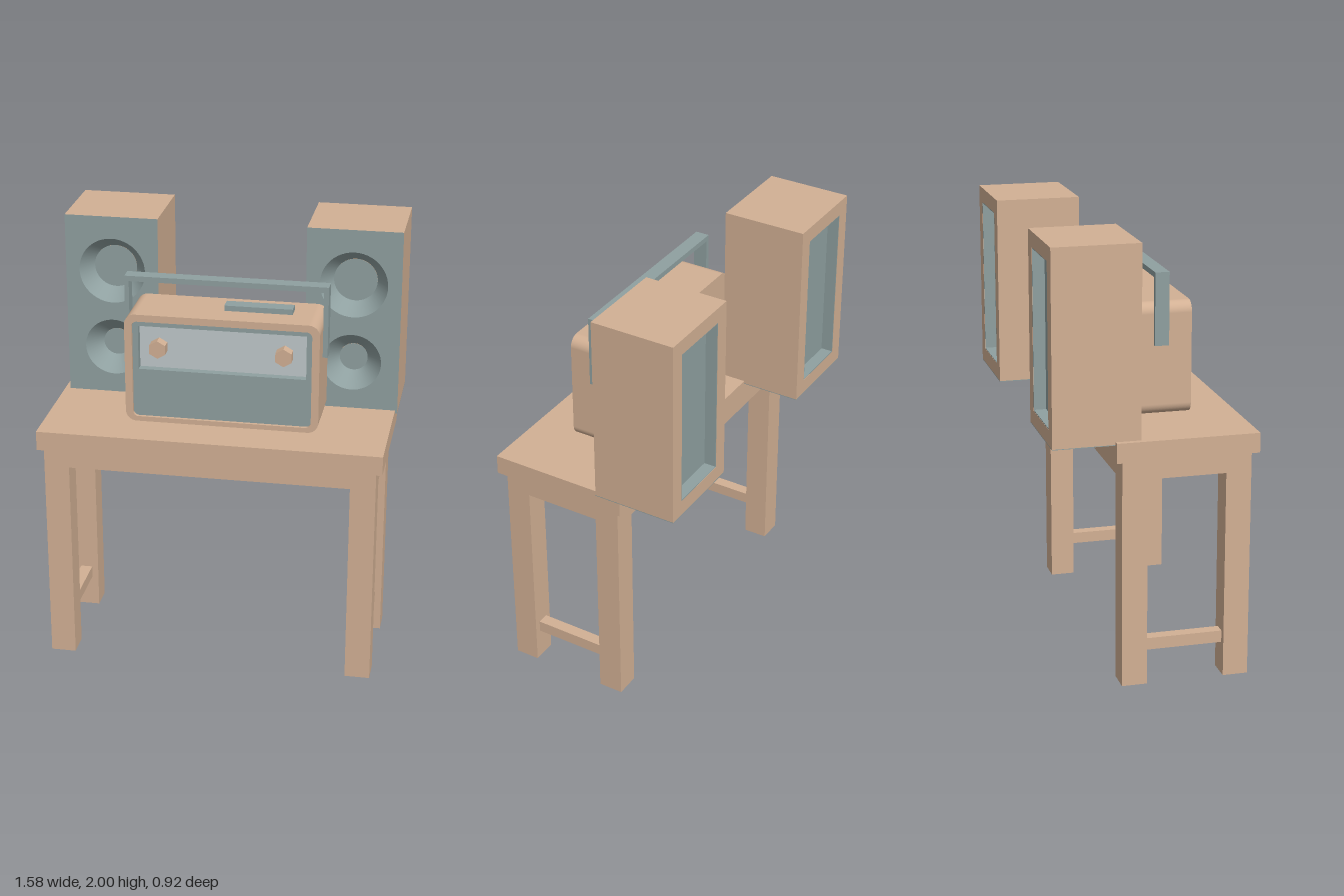
import * as THREE from 'three';

const wood = new THREE.MeshStandardMaterial({ color: 0xd2b094 });
const slate = new THREE.MeshStandardMaterial({ color: 0x8fa0a0 });
const pale = new THREE.MeshStandardMaterial({ color: 0xc0c8ca });

function add(parent, name, geometry, material, x = 0, y = 0, z = 0) {
  const mesh = new THREE.Mesh(geometry, material);
  mesh.name = name;
  mesh.position.set(x, y, z);
  parent.add(mesh);
  return mesh;
}

// Box given by its limits on each axis
function block(parent, name, material, [x0, x1], [y0, y1], [z0, z1]) {
  const geometry = new THREE.BoxGeometry(x1 - x0, y1 - y0, z1 - z0);
  return add(parent, name, geometry, material, (x0 + x1) / 2, (y0 + y1) / 2, (z0 + z1) / 2);
}

// Rectangle outline with optional rounded corners
function rect(x0, x1, y0, y1, r = 0, Kind = THREE.Shape) {
  const s = new Kind();
  s.moveTo(x0 + r, y0);
  s.lineTo(x1 - r, y0);
  if (r) s.absarc(x1 - r, y0 + r, r, -Math.PI / 2, 0);
  else s.lineTo(x1, y0);
  s.lineTo(x1, y1 - r);
  if (r) s.absarc(x1 - r, y1 - r, r, 0, Math.PI / 2);
  s.lineTo(x0 + r, y1);
  if (r) s.absarc(x0 + r, y1 - r, r, Math.PI / 2, Math.PI);
  s.lineTo(x0, y0 + r);
  if (r) s.absarc(x0 + r, y0 + r, r, Math.PI, Math.PI * 1.5);
  return s;
}

function extrude(shape, depth, ...holes) {
  shape.holes.push(...holes);
  return new THREE.ExtrudeGeometry(shape, { depth, bevelEnabled: false, curveSegments: 24 });
}

function createTable() {
  const table = new THREE.Group();
  table.name = 'table';
  block(table, 'tableTop', wood, [-0.79, 0.78], [1.05, 1.14], [-0.185, 0.46]);
  block(table, 'apron', wood, [-0.765, 0.75], [0.96, 1.05], [-0.155, 0.43]);
  for (const [side, x] of [['right', -0.765], ['left', 0.635]]) {
    for (const [end, z] of [['Front', 0.315], ['Back', -0.155]]) {
      block(table, `${side}${end}Leg`, wood, [x, x + 0.115], [0, 0.96], [z, z + 0.115]);
    }
    block(table, `${side}Stretcher`, wood, [x + 0.03, x + 0.085], [0.15, 0.205], [-0.04, 0.315]);
  }
  return table;
}

function createSpeaker(name, x) {
  const speaker = new THREE.Group();
  speaker.name = name;
  speaker.position.x = x;
  const w = 0.2175, y0 = 1.128, y1 = 2, front = -0.07, back = -0.463;
  const coneDepth = 0.08, recess = 0.06;
  const cones = [['woofer', 1.74, 0.155, 0.1], ['tweeter', 1.365, 0.135, 0.065]];

  // Front baffle with a dished cone in each opening
  const holes = cones.map(([, y, r]) => new THREE.Path().absarc(0, y, r, 0, Math.PI * 2, true));
  add(speaker, 'baffle', extrude(rect(-w, w, y0, y1), coneDepth, ...holes), [slate, wood], 0, 0, front - coneDepth);
  for (const [label, y, r, inner] of cones) {
    const wall = new THREE.CylinderGeometry(r, inner, coneDepth, 48, 1, true).rotateX(Math.PI / 2);
    const dish = slate.clone();
    dish.side = THREE.DoubleSide;
    add(speaker, `${label}Cone`, wall, dish, 0, y, front - coneDepth / 2);
    add(speaker, `${label}Disc`, new THREE.CircleGeometry(inner, 48), slate, 0, y, front - coneDepth + 0.002);
  }

  // Cabinet and its recessed back
  block(speaker, 'cabinet', wood, [-w, w], [y0, y1], [back + recess, front - coneDepth]);
  const m = 0.07, t = 0.004;
  const opening = rect(-w + m, w - m, y0 + m, y1 - m, 0, THREE.Path);
  add(speaker, 'backFrame', extrude(rect(-w, w, y0, y1), recess, opening), wood, 0, 0, back);
  const liningHole = rect(-w + m + t, w - m - t, y0 + m + t, y1 - m - t, 0, THREE.Path);
  add(speaker, 'recessLining',
    extrude(rect(-w + m, w - m, y0 + m, y1 - m), recess - 0.001, liningHole), slate, 0, 0, back + 0.001);
  block(speaker, 'backPanel', slate, [-w + m, w - m], [y0 + m, y1 - m], [back + recess - t, back + recess]);
  block(speaker, 'basePlate', slate, [-w, w], [y0 - 0.003, y0], [back, front]);
  return speaker;
}

function createRadio() {
  const radio = new THREE.Group();
  radio.name = 'radio';
  const back = -0.03, front = 0.255, panelZ = 0.24, dialZ = 0.2;

  // Wooden case: solid rear, then an open rim around the front
  const outline = () => rect(-0.42, 0.465, 1.14, 1.655, 0.05);
  add(radio, 'case', extrude(outline(), dialZ - back), wood, 0, 0, back);
  add(radio, 'caseRim',
    extrude(outline(), front - dialZ, rect(-0.386, 0.431, 1.163, 1.622, 0.025, THREE.Path)), wood, 0, 0, dialZ);

  // Front panel with a sunken dial
  const window = rect(-0.36, 0.405, 1.39, 1.597, 0, THREE.Path);
  add(radio, 'frontPanel', extrude(rect(-0.386, 0.431, 1.163, 1.622, 0.025), panelZ - dialZ, window), slate, 0, 0, dialZ);
  block(radio, 'dial', pale, [-0.36, 0.405], [1.39, 1.597], [dialZ - 0.01, dialZ + 0.003]);

  // Six-sided knobs
  for (const [name, x] of [['rightKnob', -0.27], ['leftKnob', 0.303]]) {
    const knob = new THREE.CylinderGeometry(0.042, 0.042, 0.055, 6).toNonIndexed();
    knob.computeVertexNormals();
    add(radio, name, knob.rotateX(Math.PI / 2), wood, x, 1.492, 0.227);
  }

  // Top button and carrying handle
  block(radio, 'topButton', slate, [0.015, 0.325], [1.65, 1.68], [0.07, 0.135]);
  const handle = new THREE.Shape([
    [-0.44, 1.465], [-0.42, 1.465], [-0.42, 1.772], [0.465, 1.772],
    [0.465, 1.465], [0.487, 1.465], [0.487, 1.797], [-0.44, 1.797],
  ].map(([x, y]) => new THREE.Vector2(x, y)));
  add(radio, 'handle', extrude(handle, 0.065), slate, 0, 0, 0.08);
  return radio;
}

export function createModel() {
  const model = new THREE.Group();
  model.name = 'tableWithRadioAndSpeakers';
  model.add(createTable(), createRadio());
  model.add(createSpeaker('rightSpeaker', -0.548), createSpeaker('leftSpeaker', 0.573));
  return model;
}
